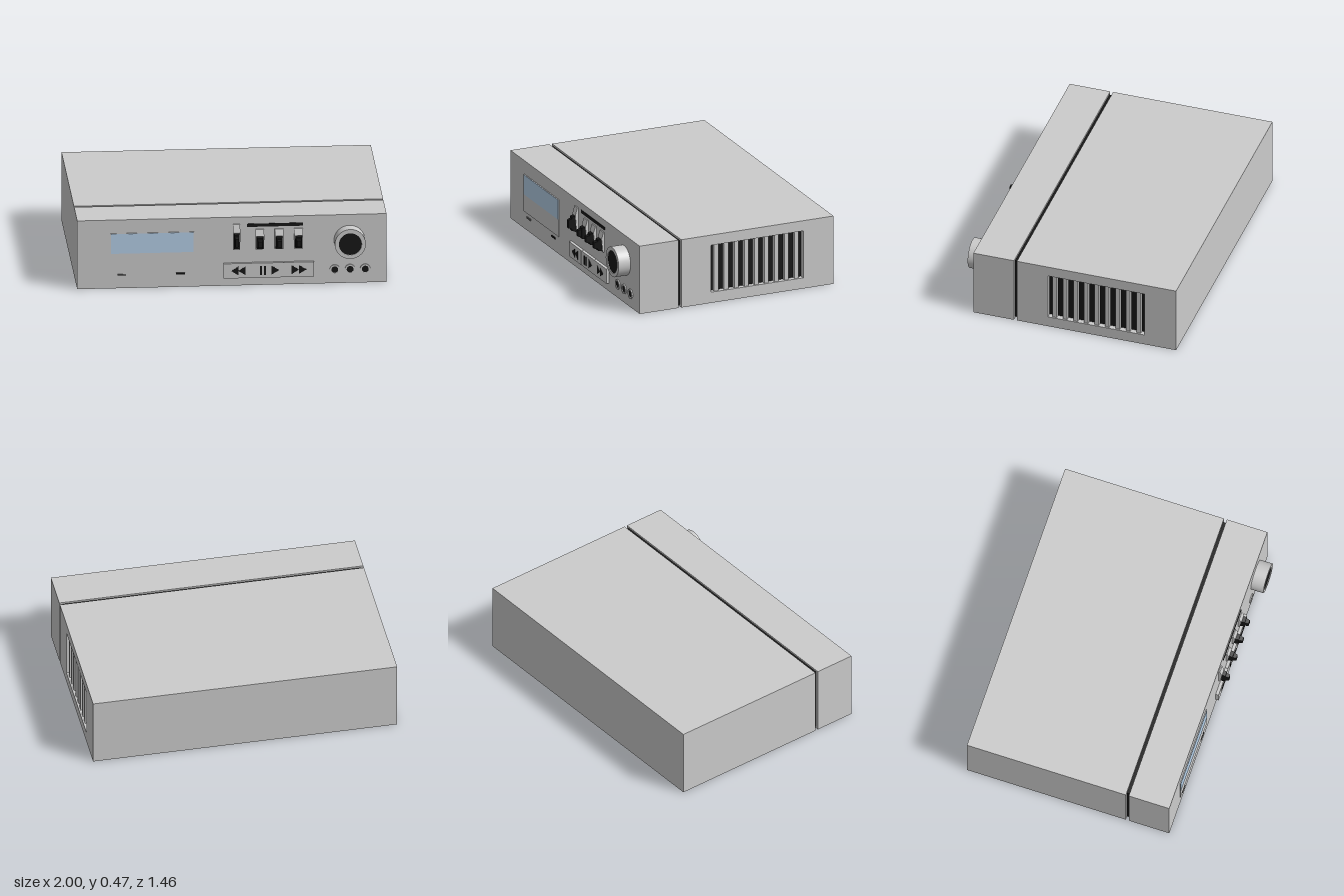
import * as THREE from 'three';

const grey = new THREE.MeshStandardMaterial({ color: 0xcccccc });
const black = new THREE.MeshStandardMaterial({ color: 0x171717 });
const blue = new THREE.MeshStandardMaterial({ color: 0xb6d0e9 });
const FRONT = 0.645;

function add(parent, name, geometry, material = grey) {
  const mesh = new THREE.Mesh(geometry, material);
  mesh.name = name;
  parent.add(mesh);
  return mesh;
}

// Box given by its limits on each axis
function box(parent, name, [x0, x1], [y0, y1], [z0, z1], material) {
  const g = new THREE.BoxGeometry(x1 - x0, y1 - y0, z1 - z0);
  g.translate((x0 + x1) / 2, (y0 + y1) / 2, (z0 + z1) / 2);
  return add(parent, name, g, material);
}

function polygon(points) {
  return new THREE.Shape(points.map(([x, y]) => new THREE.Vector2(x, y)));
}

// Turned part whose axis points forward; profile is [radius, z]
function turned(parent, name, x, y, profile, material) {
  for (let i = 0; i < profile.length - 1; i++) {
    // Separate bands keep the rims sharp
    const band = [profile[i], profile[i + 1]].map(([r, z]) => new THREE.Vector2(r, z));
    const g = new THREE.LatheGeometry(band, 40);
    g.rotateX(Math.PI / 2);
    add(parent, name, g, material).position.set(x, y, FRONT);
  }
}

function addBody(root) {
  const body = new THREE.Group();
  body.name = 'body';
  root.add(body);
  box(body, 'frontCase', [-1, 1], [0, 0.465], [0.37, FRONT]);
  box(body, 'seamCore', [-0.98, 0.98], [0.013, 0.453], [0.34, 0.38], black);
  box(body, 'rearCase', [-1, 0.96], [0, 0.465], [-0.73, 0.35]);

  // Side panel with the vent opening cut out
  const side = polygon([[-0.35, 0], [0.73, 0], [0.73, 0.465], [-0.35, 0.465]]);
  side.holes.push(polygon([[-0.139, 0.073], [-0.139, 0.395], [0.516, 0.395], [0.516, 0.073]]));
  const panel = new THREE.ExtrudeGeometry(side, { depth: 0.04, bevelEnabled: false });
  panel.rotateY(Math.PI / 2).translate(0.96, 0, 0);
  add(body, 'ventPanel', panel);
  box(body, 'ventBack', [0.955, 0.964], [0.073, 0.395], [-0.516, 0.139], black);
  for (let i = 0; i < 9; i++) {
    const z = 0.0975 - i * 0.0712;
    box(body, 'ventSlat', [0.962, 0.99], [0.073, 0.395], [z - 0.0145, z + 0.0145]);
  }
}

function addDoor(root) {
  const door = new THREE.Group();
  door.name = 'tapeDoor';
  root.add(door);
  box(door, 'doorPanel', [-0.785, -0.245], [0.12, 0.373], [0.63, 0.65]);
  box(door, 'displayWindow', [-0.783, -0.247], [0.237, 0.371], [0.64, 0.652], blue);
  box(door, 'indicator', [-0.74, -0.685], [0.084, 0.096], [0.64, 0.65],
    new THREE.MeshStandardMaterial({ color: 0x666666 }));
  box(door, 'indicator', [-0.36, -0.302], [0.084, 0.096], [0.64, 0.65], black);
}

function addSwitch(root, x, width, top, step) {
  const group = new THREE.Group();
  group.name = 'toggleSwitch';
  group.position.set(x, 0, FRONT);
  root.add(group);
  // Grey housing with a sloping upper face
  const profile = polygon([[-0.01, 0.246], [0.012, 0.246], [0.022, step], [0.008, top], [-0.01, top]]);
  const housing = new THREE.ExtrudeGeometry(profile, { depth: width, bevelEnabled: false });
  housing.translate(0, 0, -width / 2).rotateY(-Math.PI / 2);
  add(group, 'switchHousing', housing);
  // Dark lever, narrowing forward in two stages
  const h = step - 0.25;
  const mid = 0.25 + h / 2;
  const stages = [[0.0, 0.043, width * 0.85, h, 0.8], [0.04, 0.067, width * 0.62, h * 0.6, 0.75]];
  for (const [z0, z1, w, height, taper] of stages) {
    const g = new THREE.BoxGeometry(w, height, z1 - z0);
    const p = g.attributes.position;
    for (let i = 0; i < p.count; i++) {
      if (p.getZ(i) > 0) p.setXY(i, p.getX(i) * taper, p.getY(i) * taper);
    }
    g.computeVertexNormals();
    g.translate(0, mid, (z0 + z1) / 2);
    add(group, 'switchLever', g, black);
  }
}

function addButtons(root) {
  const keys = new THREE.Group();
  keys.name = 'transportButtons';
  root.add(keys);
  const edges = [-0.055, 0.139, 0.335, 0.53];
  for (let i = 0; i < 3; i++) {
    box(keys, 'button', [edges[i] + 0.001, edges[i + 1] - 0.001], [0.055, 0.155], [0.63, 0.665]);
  }
  // Symbols: triangles run from base x to tip x
  for (const [base, tip] of [[0.042, -0.005], [0.088, 0.041], [0.255, 0.305], [0.385, 0.432], [0.431, 0.48]]) {
    const corners = [[base, 0.075], [tip, 0.105], [base, 0.135]];
    const g = new THREE.ExtrudeGeometry(polygon(corners), { depth: 0.004, bevelEnabled: false });
    add(keys, 'arrowMark', g.translate(0, 0, 0.663), black);
  }
  for (const x of [0.18, 0.206]) {
    box(keys, 'pauseMark', [x, x + 0.014], [0.075, 0.135], [0.66, 0.667], black);
  }
}

export function createModel() {
  const root = new THREE.Group();
  root.name = 'tapeDeck';
  addBody(root);
  addDoor(root);

  // Switch row and the dark bar above it
  addSwitch(root, 0.03, 0.046, 0.417, 0.368);
  for (const x of [0.18, 0.305, 0.43]) addSwitch(root, x, 0.056, 0.38, 0.34);
  box(root, 'switchBar', [0.097, 0.46], [0.397, 0.418], [0.64, 0.648], black);
  addButtons(root);

  // Volume knob with a dark inset cap
  turned(root, 'volumeKnob', 0.76, 0.291, [[0.1, 0], [0.1, 0.085], [0.074, 0.085], [0.074, 0.079]]);
  turned(root, 'knobCap', 0.76, 0.291, [[0.076, 0.08], [0, 0.08]], black);

  // Sockets: raised ring around a dark hole
  for (const x of [0.665, 0.764, 0.862]) {
    turned(root, 'socketRing', x, 0.094, [[0.033, 0], [0.033, 0.008], [0.022, 0.008], [0.022, 0.003]]);
    turned(root, 'socketHole', x, 0.094, [[0.024, 0.004], [0, 0.004]], black);
  }
  return root;
}
